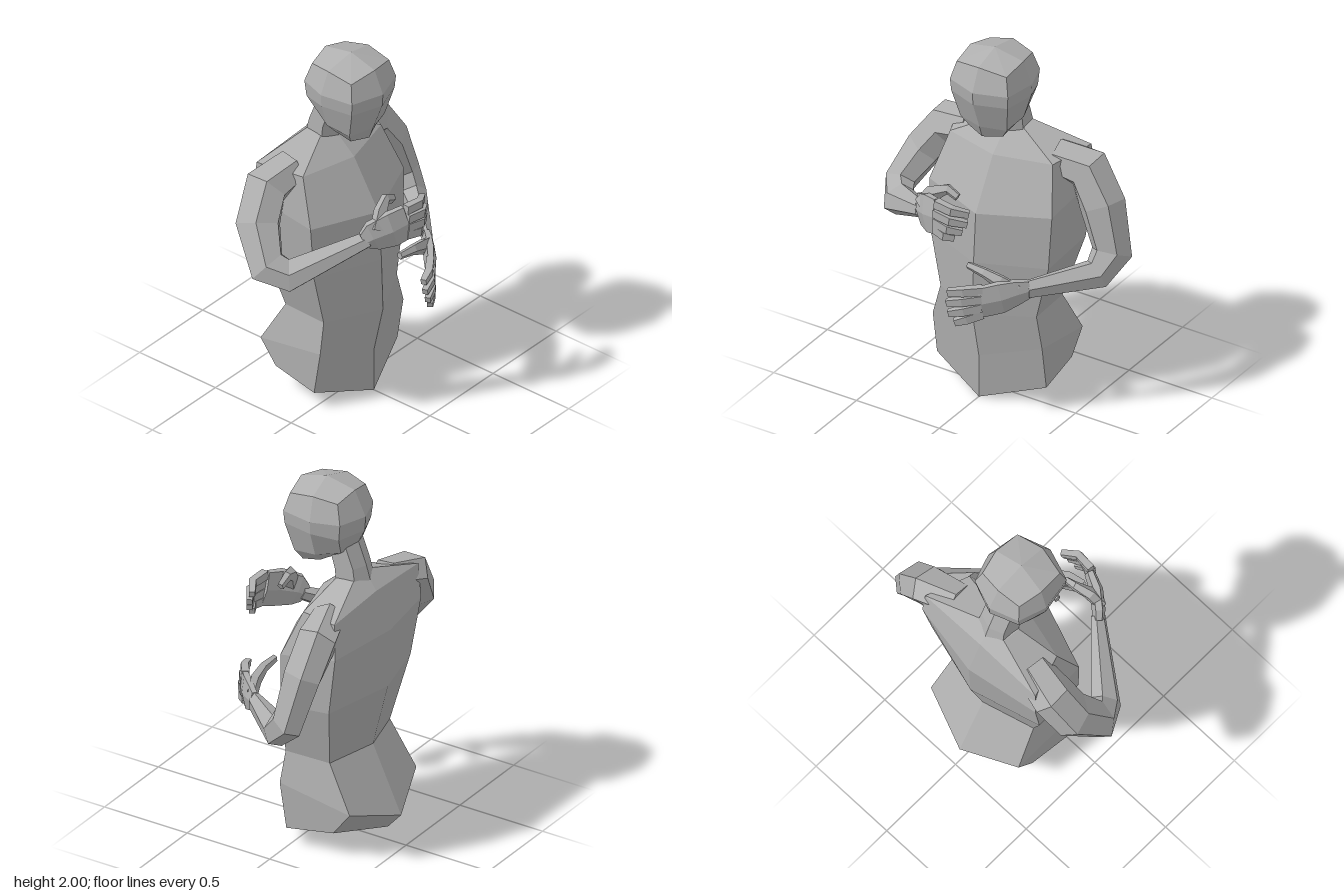
import * as THREE from 'three';

// Facet normals are stored per face, so each four-sided facet shades evenly
const clay = new THREE.MeshStandardMaterial({ color: 0xafafaf });
clay.name = 'clayGrey';
const V = (p) => new THREE.Vector3(p[0], p[1], p[2]);

// Skin a stack of equal-length rings and close both ends
function loft(name, rings, top, bottom) {
  const pos = [], nor = [];
  const tri = (n, ...ps) => ps.forEach((p) => {
    pos.push(p.x, p.y, p.z);
    nor.push(n.x, n.y, n.z);
  });
  const cross = (a, b, c, d) => b.clone().sub(a).cross(d.clone().sub(c)).normalize();
  const cap = (a, b, c) => tri(cross(a, b, a, c), a, b, c);
  const quad = (a, b, c, d) => {
    const n = cross(a, c, b, d);
    if (a.distanceTo(c) < b.distanceTo(d)) {
      tri(n, a, b, c);
      tri(n, a, c, d);
    } else {
      tri(n, a, b, d);
      tri(n, b, c, d);
    }
  };
  const centre = (r) => r.reduce((s, p) => s.add(p), new THREE.Vector3()).divideScalar(r.length);
  const n = rings[0].length, last = rings[rings.length - 1];
  const c0 = bottom ? V(bottom) : centre(rings[0]);
  const c1 = top ? V(top) : centre(last);
  for (let i = 0; i < n; i++) {
    const j = (i + 1) % n;
    cap(c0, rings[0][j], rings[0][i]);
    cap(c1, last[i], last[j]);
    for (let k = 0; k < rings.length - 1; k++) {
      quad(rings[k][i], rings[k][j], rings[k + 1][j], rings[k + 1][i]);
    }
  }
  const g = new THREE.BufferGeometry();
  g.setAttribute('position', new THREE.Float32BufferAttribute(pos, 3));
  g.setAttribute('normal', new THREE.Float32BufferAttribute(nor, 3));
  const m = new THREE.Mesh(g, clay);
  m.name = name;
  return m;
}

// Half ring (front centre, side points, back centre) mirrored to a full ring
const mirrorRing = (half) => [
  ...half.map(V),
  ...half.slice(1, -1).reverse().map((p) => V([-p[0], p[1], p[2]])),
];

// Tube through sections [x, y, z, half size along hint, half size across]
function limb(name, secs, sides, hint) {
  const pts = secs.map(V);
  const off = sides === 4 ? Math.PI / 4 : 0, k = sides === 4 ? Math.SQRT2 : 1;
  const rings = secs.map((s, i) => {
    const t = new THREE.Vector3();
    if (i > 0) t.add(pts[i].clone().sub(pts[i - 1]).normalize());
    if (i < pts.length - 1) t.add(pts[i + 1].clone().sub(pts[i]).normalize());
    t.normalize();
    const u = hint.clone().addScaledVector(t, -hint.dot(t)).normalize();
    const v = t.clone().cross(u);
    return Array.from({ length: sides }, (_, q) => {
      const a = off + (q / sides) * Math.PI * 2;
      return pts[i].clone()
        .addScaledVector(u, Math.cos(a) * s[3] * k)
        .addScaledVector(v, Math.sin(a) * s[4] * k);
    });
  });
  return loft(name, rings);
}

// Arm to the wrist, then an upright palm with fingers and thumb
function arm(side, secs, palm, fingers, thumb) {
  const g = new THREE.Group();
  g.name = side + 'Arm';
  const up = new THREE.Vector3(0, 1, 0);
  const [a, b, c] = [secs[2], secs[4], secs[5]].map(V);
  const bend = b.clone().sub(a).cross(c.clone().sub(b)).normalize();
  g.add(limb(side + 'UpperArmAndForearm', secs, 6, bend));
  const reach = V(palm[2]).sub(V(palm[0]));
  g.add(limb(side + 'Palm', palm, 6, reach.cross(up).normalize()));
  fingers.forEach(([p, q, r], i) => g.add(limb(side + 'Finger' + (i + 1), [
    [...p, 0.023, 0.02], [...q, 0.022, 0.019], [...r, 0.017, 0.015],
  ], 4, up)));
  g.add(limb(side + 'Thumb', thumb, 5, new THREE.Vector3(0, 0, 1)));
  return g;
}

export function createModel() {
  const model = new THREE.Group();
  model.name = 'upperBodyFigure';

  // Torso: hips, waist, ribs, chest, shoulders, neck base
  model.add(loft('torso', [
    [[0, 0, 0.13], [0.33, 0.1, 0.01], [0.31, 0.14, -0.26], [0, 0.075, -0.39]],
    [[0, 0.245, 0.13], [0.33, 0.35, 0.05], [0.31, 0.27, -0.36], [0, 0.165, -0.47]],
    [[0, 0.52, 0.19], [0.29, 0.52, 0.04], [0.28, 0.52, -0.22], [0, 0.53, -0.3]],
    [[0, 0.82, 0.18], [0.355, 0.82, 0.03], [0.38, 0.87, -0.28], [0, 0.89, -0.39]],
    [[0, 1.1, 0.16], [0.37, 1.12, 0.02], [0.4, 1.2, -0.33], [0, 1.22, -0.405]],
    [[0, 1.37, 0], [0.31, 1.37, -0.08], [0.39, 1.4, -0.32], [0, 1.42, -0.32]],
    [[0, 1.465, -0.11], [0.1, 1.485, -0.14], [0.09, 1.49, -0.24], [0, 1.49, -0.27]],
  ].map(mirrorRing), null, [0, 0.025, -0.13]));

  // Neck leaning forward
  model.add(loft('neck', [
    [[0, 1.42, -0.11], [0.095, 1.44, -0.14], [0.09, 1.45, -0.25], [0, 1.45, -0.29]],
    [[0, 1.53, -0.09], [0.095, 1.54, -0.13], [0.08, 1.55, -0.23], [0, 1.55, -0.26]],
    [[0, 1.64, -0.06], [0.09, 1.66, -0.09], [0.08, 1.68, -0.18], [0, 1.68, -0.21]],
  ].map(mirrorRing)));

  // Faceted head
  model.add(loft('head', [
    [[0, 1.53, 0.1], [0.1, 1.54, 0.06], [0.11, 1.57, -0.05], [0.08, 1.61, -0.13], [0, 1.62, -0.16]],
    [[0, 1.6, 0.125], [0.14, 1.6, 0.085], [0.155, 1.62, -0.05], [0.1, 1.64, -0.17], [0, 1.65, -0.2]],
    [[0, 1.76, 0.185], [0.17, 1.76, 0.125], [0.2, 1.76, -0.05], [0.15, 1.74, -0.19], [0, 1.75, -0.25]],
    [[0, 1.83, 0.19], [0.175, 1.83, 0.13], [0.205, 1.83, -0.05], [0.155, 1.83, -0.2], [0, 1.83, -0.255]],
    [[0, 1.955, 0.135], [0.15, 1.93, 0.105], [0.16, 1.955, -0.04], [0.13, 1.935, -0.17], [0, 1.965, -0.19]],
  ].map(mirrorRing), [0, 2, -0.02]));

  // Right arm raised across the chest
  model.add(arm('right', [
    [-0.25, 1.345, -0.21, 0.1, 0.1], [-0.425, 1.305, -0.23, 0.11, 0.125],
    [-0.53, 1.15, -0.195, 0.105, 0.125], [-0.605, 0.98, -0.07, 0.085, 0.11],
    [-0.55, 0.94, 0.03, 0.07, 0.095], [-0.24, 1.115, 0.29, 0.035, 0.045],
  ], [
    [-0.255, 1.11, 0.28, 0.03, 0.055], [-0.225, 1.135, 0.31, 0.035, 0.095],
    [-0.15, 1.165, 0.37, 0.035, 0.115], [-0.07, 1.185, 0.405, 0.028, 0.11],
  ], [
    [[-0.08, 1.262, 0.405], [0.02, 1.255, 0.415], [0.095, 1.235, 0.37]],
    [[-0.08, 1.212, 0.415], [0.02, 1.205, 0.43], [0.095, 1.185, 0.385]],
    [[-0.08, 1.162, 0.415], [0.01, 1.155, 0.435], [0.075, 1.14, 0.4]],
    [[-0.08, 1.115, 0.41], [-0.01, 1.11, 0.435], [0.035, 1.1, 0.41]],
  ], [
    [-0.21, 1.17, 0.33, 0.035, 0.05], [-0.16, 1.25, 0.31, 0.035, 0.045],
    [-0.09, 1.28, 0.28, 0.025, 0.03], [-0.03, 1.25, 0.28, 0.018, 0.025],
  ]));

  // Left arm held across the waist
  model.add(arm('left', [
    [0.25, 1.345, -0.21, 0.1, 0.1], [0.425, 1.305, -0.24, 0.11, 0.125],
    [0.525, 1.14, -0.215, 0.105, 0.125], [0.605, 0.9, -0.18, 0.085, 0.11],
    [0.57, 0.805, -0.09, 0.075, 0.085], [0.34, 0.785, 0.2, 0.028, 0.05],
  ], [
    [0.345, 0.785, 0.19, 0.026, 0.055], [0.3, 0.775, 0.24, 0.03, 0.08],
    [0.24, 0.755, 0.3, 0.033, 0.1], [0.16, 0.735, 0.37, 0.025, 0.1],
  ], [
    [[0.17, 0.805, 0.36], [0.09, 0.8, 0.42], [0.015, 0.785, 0.445]],
    [[0.17, 0.76, 0.37], [0.09, 0.748, 0.43], [0.015, 0.73, 0.455]],
    [[0.17, 0.712, 0.37], [0.1, 0.695, 0.43], [0.03, 0.675, 0.46]],
    [[0.17, 0.668, 0.36], [0.11, 0.645, 0.42], [0.06, 0.625, 0.45]],
  ], [
    [0.3, 0.78, 0.24, 0.025, 0.05], [0.22, 0.825, 0.27, 0.03, 0.045],
    [0.13, 0.855, 0.28, 0.025, 0.03], [0.03, 0.865, 0.275, 0.018, 0.02],
  ]));
  return model;
}
